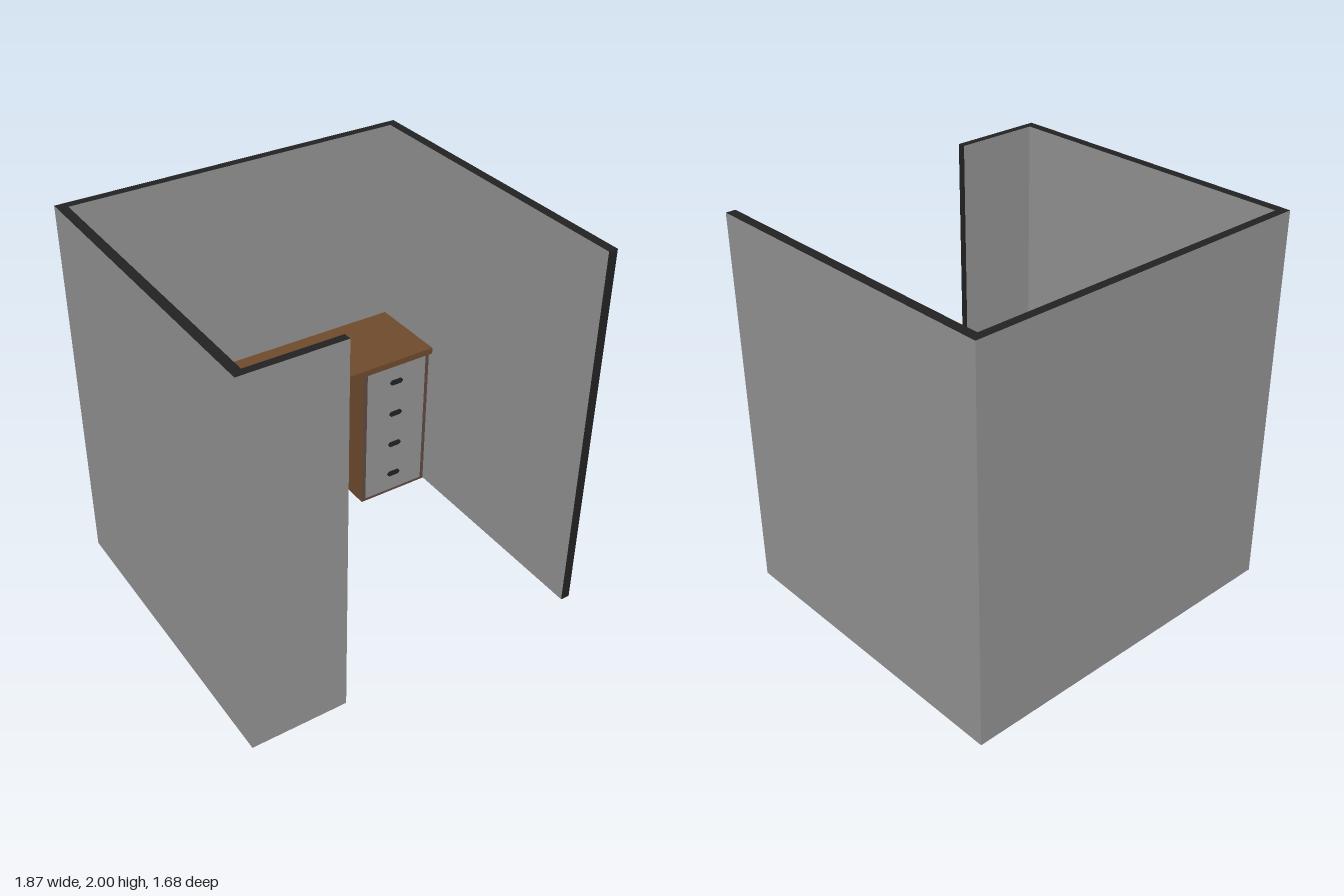
import * as THREE from 'three';

const mat = (name, color, side = THREE.FrontSide) => {
  const m = new THREE.MeshStandardMaterial({ color, side });
  m.name = name;
  return m;
};

export function createModel() {
  const fabric = mat('grey fabric', 0x949293, THREE.DoubleSide);
  const trim = mat('black trim', 0x222222);
  const wood = mat('brown wood', 0x6f4a2d, THREE.DoubleSide);
  const frameWood = mat('dull brown frame', 0x5e4a40, THREE.DoubleSide);

  const model = new THREE.Group();
  model.name = 'cubicle';

  const add = (parent, name, geometry, material, x = 0, y = 0, z = 0) => {
    const mesh = new THREE.Mesh(geometry, material);
    mesh.name = name;
    mesh.position.set(x, y, z);
    parent.add(mesh);
    return mesh;
  };

  // Partition walls: grey sides, black top, bottom and free ends
  const H = 2;
  const wall = (name, x0, x1, z0, z1, endX = fabric, endZ = fabric) =>
    add(model, name, new THREE.BoxGeometry(x1 - x0, H, z1 - z0),
      [endX, fabric, trim, trim, endZ, fabric], (x0 + x1) / 2, H / 2, (z0 + z1) / 2);
  wall('backWall', -0.935, 0.935, -0.84, -0.795);
  wall('rightWall', -0.935, -0.885, -0.795, 0.8);
  wall('leftWall', 0.885, 0.935, -0.795, 0.84, fabric, trim);
  wall('frontWall', -0.935, -0.43, 0.8, 0.84, trim);

  // L-shaped worktop with a bevelled inner corner and a cable notch
  const outline = [
    [-0.845, -0.795], [0.885, -0.795], [0.885, -0.345], [-0.185, -0.345],
    [-0.43, -0.1], [-0.43, 0.8], [-0.885, 0.8], [-0.885, -0.76],
  ].map(([x, z]) => new THREE.Vector2(x, -z));
  const topGeometry = new THREE.ExtrudeGeometry(new THREE.Shape(outline), { depth: 0.035, bevelEnabled: false });
  topGeometry.rotateX(-Math.PI / 2);
  add(model, 'worktop', topGeometry, wood, 0, 0.858, 0);

  // Drawer unit: framed front with handles and one side panel, open below
  const W = 0.42, D = 0.425, T = 0.858;
  const rect = (Type, x, y, w, h) => new Type([
    new THREE.Vector2(x, y), new THREE.Vector2(x + w, y),
    new THREE.Vector2(x + w, y + h), new THREE.Vector2(x, y + h),
  ]);
  const frameShape = rect(THREE.Shape, -W / 2, 0, W, T);
  frameShape.holes.push(rect(THREE.Path, -W / 2 + 0.024, 0.015, W - 0.045, T - 0.03));
  const handleShape = new THREE.Shape([
    [-0.042, 0], [-0.03, -0.015], [0.03, -0.015], [0.042, 0], [0.03, 0.015], [-0.03, 0.015],
  ].map(([x, y]) => new THREE.Vector2(x, y)));

  const drawers = (name, x, z, turn, sideSign) => {
    const unit = new THREE.Group();
    unit.name = name;
    add(unit, 'drawerFrame', new THREE.ShapeGeometry(frameShape), frameWood);
    add(unit, 'drawerFront', new THREE.PlaneGeometry(W - 0.045, T - 0.03), fabric, 0.0015, T / 2, 0);
    add(unit, 'sidePanel', new THREE.PlaneGeometry(D, T), wood, sideSign * W / 2, T / 2, -D / 2)
      .rotation.y = Math.PI / 2;
    for (let i = 0; i < 4; i++) {
      add(unit, 'handle', new THREE.ExtrudeGeometry(handleShape, { depth: 0.009, bevelEnabled: false }),
        trim, 0, 0.125 + i * 0.205, -0.003);
    }
    unit.position.set(x, 0, z);
    unit.rotation.y = turn;
    model.add(unit);
  };
  drawers('backDrawers', 0.672, -0.37, 0, -1);
  drawers('sideDrawers', -0.457, 0.589, Math.PI / 2, 1);

  return model;
}
